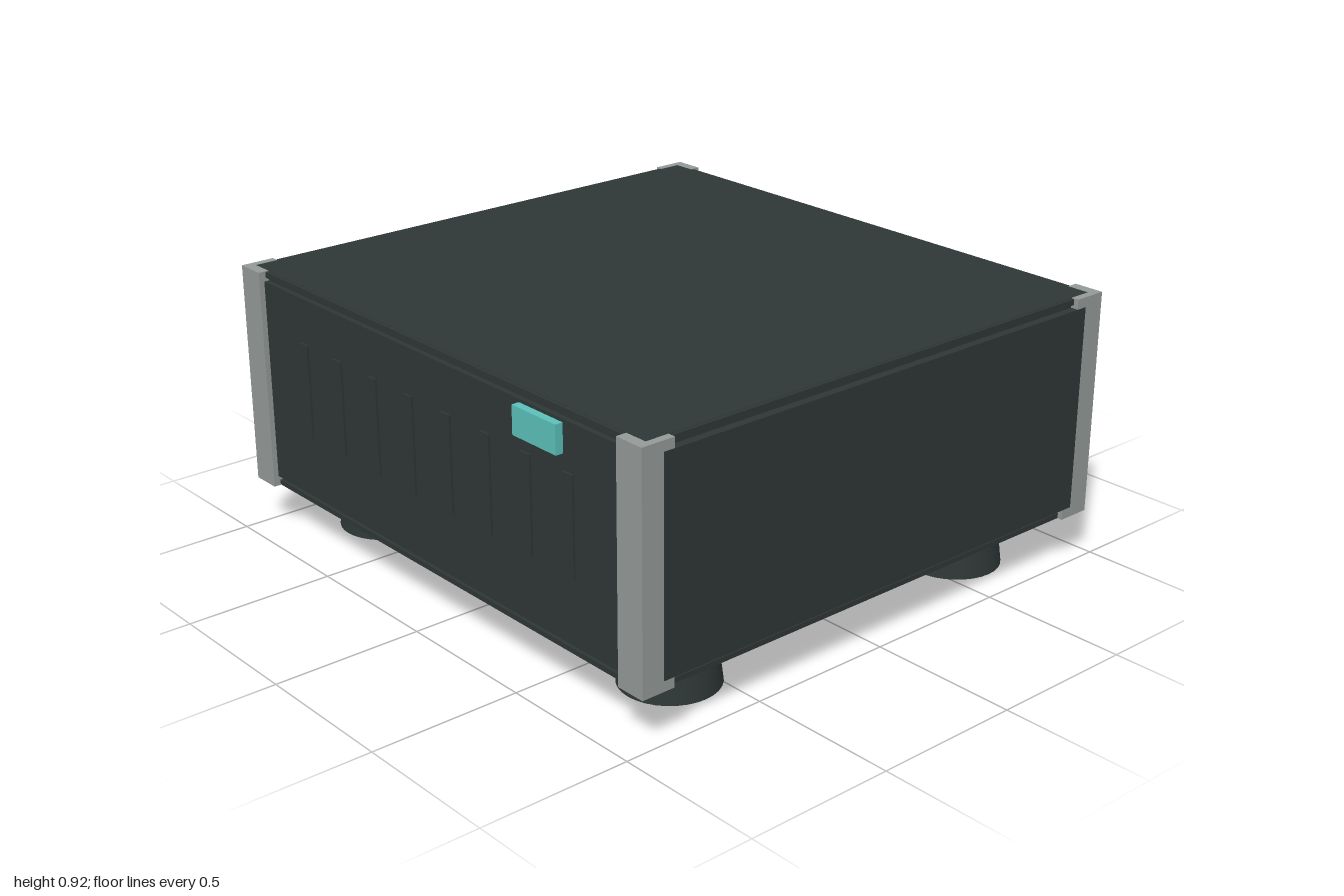
import * as THREE from 'three';

export function createModel() {
  const model = new THREE.Group();
  model.name = 'equipmentCase';

  const paint = (name, color) => {
    const m = new THREE.MeshStandardMaterial({ color });
    m.name = name;
    return m;
  };
  const charcoal = paint('charcoal', 0x2e3736);
  const grey = paint('grey', 0x959b99);
  const teal = paint('teal', 0x5cc2ba);

  const add = (name, geometry, material, x, y, z) => {
    const mesh = new THREE.Mesh(geometry, material);
    mesh.name = name;
    mesh.position.set(x, y, z);
    model.add(mesh);
    return mesh;
  };
  // Box given by its minimum and maximum on each axis
  const box = (name, material, [x0, x1], [y0, y1], [z0, z1]) =>
    add(name, new THREE.BoxGeometry(x1 - x0, y1 - y0, z1 - z0), material,
      (x0 + x1) / 2, (y0 + y1) / 2, (z0 + z1) / 2);

  const zMid = -0.006; // case centre; the badge sticks out in front
  const bottom = 0.167, top = 0.917;

  // Case core with its raised side, front and back panels
  box('caseBody', charcoal, [-0.973, 0.973], [bottom, top], [zMid - 0.912, zMid + 0.912]);
  box('sidePanels', charcoal, [-1, 1], [0.2, 0.885], [zMid - 0.87, zMid + 0.87]);
  box('frontBackPanels', charcoal, [-0.9, 0.9], [0.2, 0.885], [zMid - 0.93, zMid + 0.93]);
  // Slim trims along the lid and base edges
  for (const [name, y] of [['lidTrim', [0.897, top - 0.001]], ['baseTrim', [bottom + 0.001, 0.185]]]) {
    box(name, charcoal, [-0.984, 0.984], y, [zMid - 0.83, zMid + 0.83]);
    box(name, charcoal, [-0.9, 0.9], y, [zMid - 0.924, zMid + 0.924]);
  }

  // L-shaped corner posts, drawn in plan and raised to full height
  for (const sx of [-1, 1]) for (const sz of [-1, 1]) {
    const plan = [[0.999, 0.948], [0.895, 0.948], [0.895, 0.912], [0.973, 0.912], [0.973, 0.832], [0.999, 0.832]];
    const shape = new THREE.Shape(plan.map(([x, z]) => new THREE.Vector2(sx * x, -sz * z)));
    const post = new THREE.ExtrudeGeometry(shape, { depth: top - bottom + 0.002, bevelEnabled: false });
    post.rotateX(-Math.PI / 2);
    add('cornerPost', post, grey, 0, bottom - 0.001, zMid);

    // Tapered round feet
    add('foot', new THREE.CylinderGeometry(0.138, 0.16, bottom, 32), charcoal,
      sx * 0.73, bottom / 2, zMid + sz * 0.615);
  }

  // Row of upright ribs on the front
  for (let i = 0; i < 8; i++) {
    const x = -0.67 + i * 0.1915;
    box('frontRib', charcoal, [x - 0.022, x + 0.022], [0.413, 0.733], [0.915, 0.932]);
  }

  // Small indicator plate
  box('indicator', teal, [0.455, 0.65], [0.785, 0.877], [0.927, 0.953]);

  return model;
}
